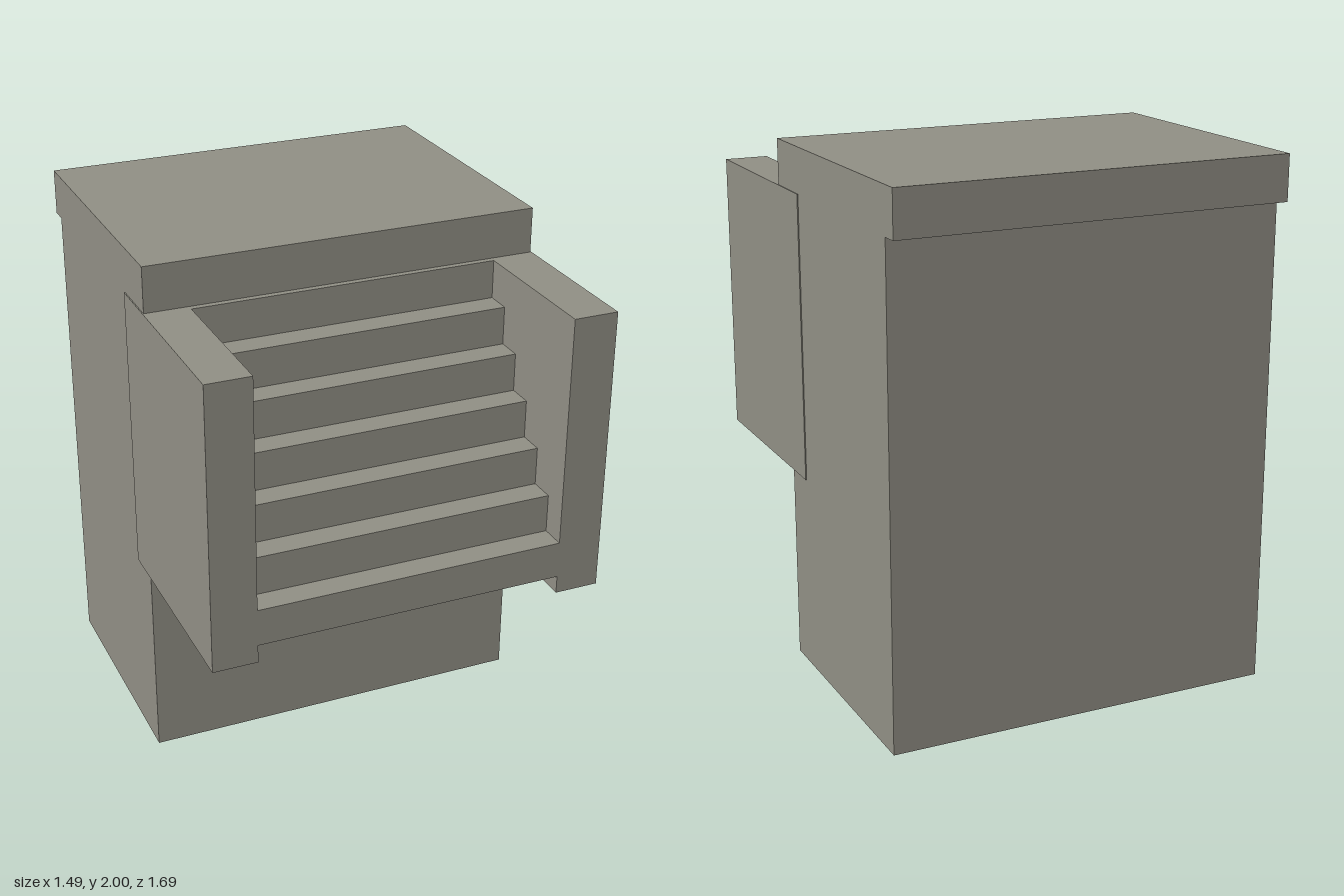
import * as THREE from 'three';

const stone = new THREE.MeshStandardMaterial({ color: 0x929086, side: THREE.DoubleSide });
stone.name = 'stone';

// Box given by its lower and upper limits
function block(name, [x0, y0, z0], [x1, y1, z1]) {
  const geo = new THREE.BoxGeometry(x1 - x0, y1 - y0, z1 - z0);
  geo.translate((x0 + x1) / 2, (y0 + y1) / 2, (z0 + z1) / 2);
  const mesh = new THREE.Mesh(geo, stone);
  mesh.name = name;
  return mesh;
}

export function createModel() {
  const group = new THREE.Group();
  group.name = 'steppedBlock';

  // Hollow body, open underneath: drop the bottom face (fourth of six)
  const body = block('body', [-0.743, 0, -0.78], [0.743, 1.83, 0.17]);
  const index = Array.from(body.geometry.index.array);
  index.splice(18, 6);
  body.geometry.setIndex(index);
  body.geometry.clearGroups();
  group.add(body);

  // Overhanging top slab
  group.add(block('topSlab', [-0.743, 1.83, -0.845], [0.743, 2, 0.237]));

  // Side walls flanking the stairs
  group.add(block('leftSideWall', [0.58, 0.752, 0.03], [0.747, 1.83, 0.847]));
  group.add(block('rightSideWall', [-0.747, 0.752, 0.03], [-0.58, 1.83, 0.847]));

  // Stairs: a stepped side profile (z, y) extruded across the width
  const front = 0.847, low = 0.96, steps = 6, run = 0.0977, rise = 0.145;
  const profile = new THREE.Shape();
  profile.moveTo(0.17, low);
  profile.lineTo(front, low);
  for (let i = 1; i <= steps; i++) {
    const z = front - i * run, y = low + i * rise;
    profile.lineTo(z, y - rise);
    profile.lineTo(z, y);
  }
  profile.lineTo(0.17, low + steps * rise);
  const stairGeo = new THREE.ExtrudeGeometry(profile, { depth: 1.16, bevelEnabled: false });
  stairGeo.rotateY(-Math.PI / 2);
  stairGeo.translate(0.58, 0, 0);
  const stairs = new THREE.Mesh(stairGeo, stone);
  stairs.name = 'stairs';
  group.add(stairs);

  // Thin riser below the lowest tread
  group.add(block('lowestRiser', [-0.58, 0.82, front - 0.005], [0.58, low, front]));

  return group;
}
